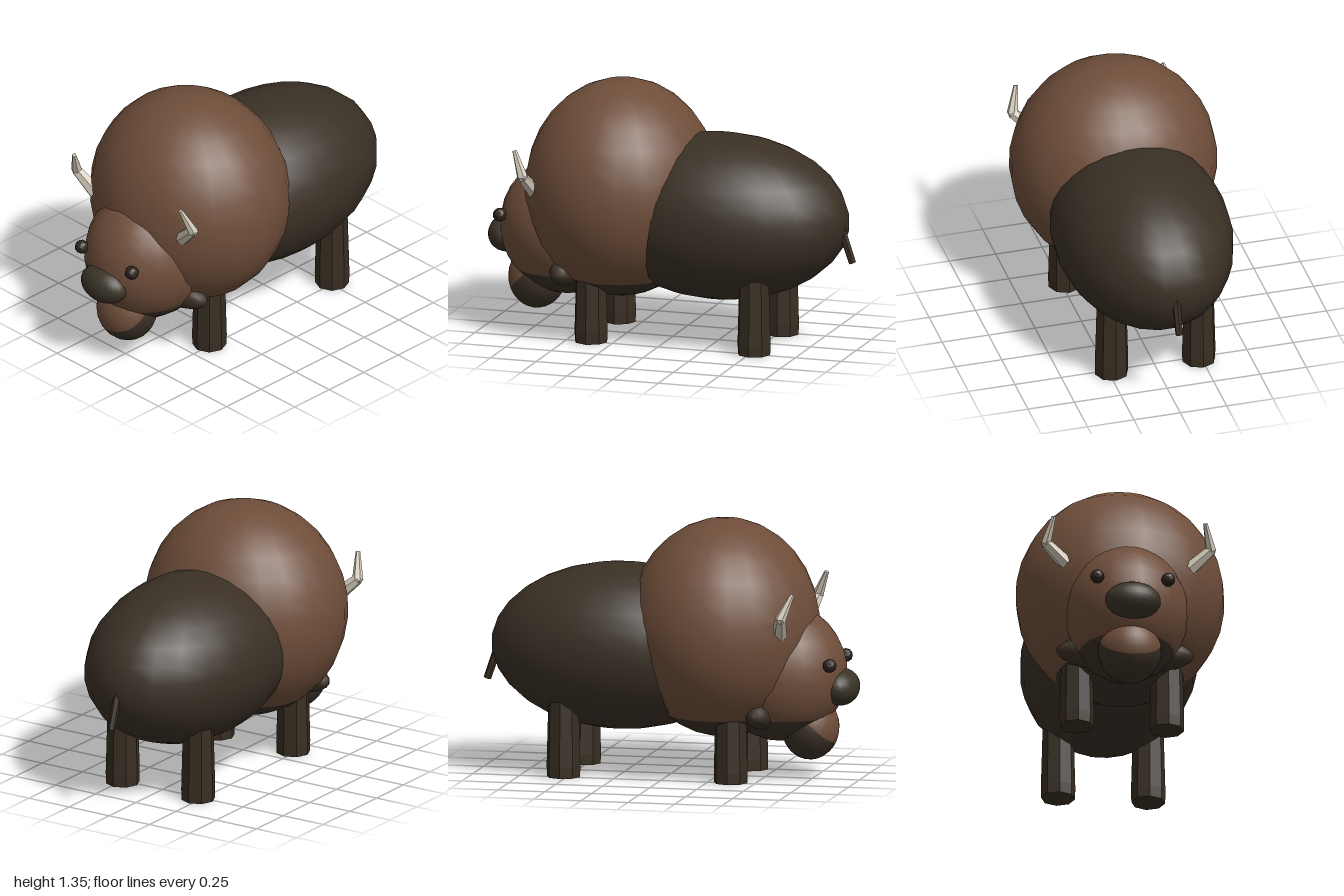
import * as THREE from 'three';

const material = (name, color, flatShading = false) => {
  const m = new THREE.MeshStandardMaterial({ color });
  m.name = name;
  m.flatShading = flatShading;
  return m;
};

export function createModel() {
  const model = new THREE.Group();
  model.name = 'bison';
  const brown = material('brown wool', 0x6f4e3a);
  const dark = material('dark hide', 0x3a3025);
  const snoutMat = material('snout', 0x3a3327);
  const legMat = material('leg hide', 0x382e22, true);
  const horn = material('horn', 0xd2c9b8, true);
  const eyeMat = material('eye', 0x2c231b, true);

  const add = (name, geometry, mat, parent = model) => {
    const mesh = new THREE.Mesh(geometry, mat);
    mesh.name = name;
    parent.add(mesh);
    return mesh;
  };

  // Ellipsoid, or the band of it between two polar angles (degrees); tilt turns the pole forwards
  const ellipsoid = (name, mat, centre, radii, from = 0, to = 180, tilt = 0) => {
    const rad = THREE.MathUtils.degToRad;
    const rows = Math.max(4, Math.round((to - from) / 12));
    const g = new THREE.SphereGeometry(1, 22, rows, 0, Math.PI * 2, rad(from), rad(to - from));
    g.rotateX(rad(tilt)).scale(...radii).translate(...centre);
    return add(name, g, mat);
  };

  // Tapered straight piece between two points
  const rod = (name, mat, a, b, ra, rb, sides, parent) => {
    const start = new THREE.Vector3(...a);
    const dir = new THREE.Vector3(...b).sub(start);
    const mesh = add(name, new THREE.CylinderGeometry(rb, ra, dir.length(), sides), mat, parent);
    mesh.position.copy(start).addScaledVector(dir, 0.5);
    mesh.quaternion.setFromUnitVectors(new THREE.Vector3(0, 1, 0), dir.normalize());
    return mesh;
  };

  // Hindquarters and the woolly hump with its dark belly
  ellipsoid('hindquarters', dark, [0, 0.665, -0.26], [0.46, 0.435, 0.69]);
  const hump = [[0, 0.78, 0.28], [0.545, 0.57, 0.5]];
  ellipsoid('hump', brown, ...hump, 0, 142);
  ellipsoid('belly', dark, ...hump, 142, 180);
  ellipsoid('throat', dark, [0, 0.36, 0.52], [0.36, 0.1, 0.1]);

  // Head with dark jaw, beard and snout
  const head = [[0, 0.555, 0.58], [0.32, 0.36, 0.35]];
  ellipsoid('head', brown, ...head, 0, 129);
  ellipsoid('jaw', dark, ...head, 129, 180);
  const beard = [[0, 0.27, 0.74], [0.165, 0.17, 0.15]];
  ellipsoid('beardFront', brown, ...beard, 0, 74, 42);
  ellipsoid('beardBack', dark, ...beard, 74, 180, 42);
  ellipsoid('snout', snoutMat, [0, 0.487, 0.9], [0.145, 0.098, 0.1]);

  for (const [side, s] of [['left', 1], ['right', -1]]) {
    // Eye
    add(side + 'Eye', new THREE.IcosahedronGeometry(0.037, 1), eyeMat).position.set(s * 0.185, 0.623, 0.885);

    // Horn bent at an elbow
    const group = new THREE.Group();
    group.name = side + 'Horn';
    model.add(group);
    const elbow = [s * 0.43, 0.895, 0.68];
    rod('hornBase', horn, [s * 0.32, 0.795, 0.65], elbow, 0.04, 0.029, 6, group);
    rod('hornTip', horn, elbow, [s * 0.395, 1.025, 0.735], 0.029, 0.012, 6, group);
    add('hornElbow', new THREE.IcosahedronGeometry(0.029, 0), horn, group).position.set(...elbow);

    // Legs with short hooves
    for (const [end, z] of [['Front', 0.37], ['Hind', -0.52]]) {
      const x = s * 0.235;
      rod(side + end + 'Leg', legMat, [x, 0.06, z], [x, 0.5, z], 0.09, 0.078, 8);
      rod(side + end + 'Hoof', legMat, [x, 0, z], [x, 0.06, z], 0.088, 0.09, 8);
    }
  }

  // Tail
  rod('tail', legMat, [0, 0.465, -0.98], [0, 0.67, -0.91], 0.02, 0.022, 6);

  return model;
}
